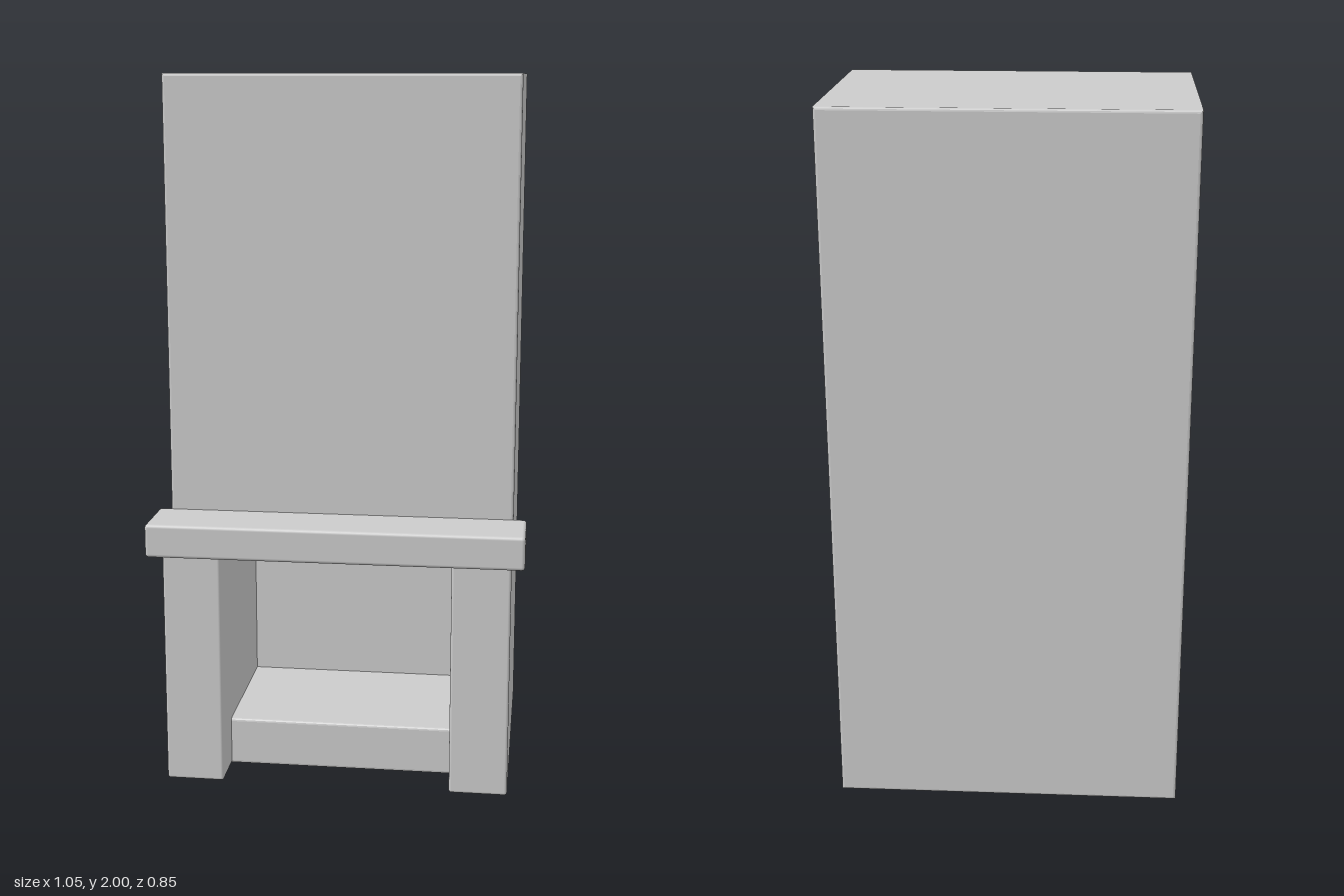
import * as THREE from 'three';
import { RoundedBoxGeometry } from 'three/addons/geometries/RoundedBoxGeometry.js';

const material = new THREE.MeshStandardMaterial({ color: 0xcccccc });
const EDGE = 0.008;

function part(name, geometry) {
  const mesh = new THREE.Mesh(geometry, material);
  mesh.name = name;
  return mesh;
}

// Softly edged block given by its minimum and maximum corners
function block(name, [x0, y0, z0], [x1, y1, z1], radius = EDGE) {
  const geometry = new RoundedBoxGeometry(x1 - x0, y1 - y0, z1 - z0, 3, radius);
  geometry.translate((x0 + x1) / 2, (y0 + y1) / 2, (z0 + z1) / 2);
  return part(name, geometry);
}

function rectangle(path, x0, y0, x1, y1) {
  path.moveTo(x0, y0);
  path.lineTo(x1, y0);
  path.lineTo(x1, y1);
  path.lineTo(x0, y1);
  path.closePath();
  return path;
}

export function createModel() {
  const model = new THREE.Group();
  model.name = 'fireplace';

  // Chimney breast with the firebox opening
  const back = -0.425, front = 0.25;
  const outline = rectangle(new THREE.Shape(), -0.49, 0, 0.49, 2);
  outline.holes.push(rectangle(new THREE.Path(), -0.325, 0.14, 0.325, 0.64));
  const breast = new THREE.ExtrudeGeometry(outline, {
    depth: front - back - 2 * EDGE,
    bevelEnabled: true,
    bevelSize: EDGE,
    bevelThickness: EDGE,
    bevelOffset: -EDGE,
    bevelSegments: 3,
  });
  breast.translate(0, 0, back + EDGE);
  model.add(part('chimneyBreast', breast));

  // Wall closing the rear of the firebox
  model.add(block('fireback', [-0.36, 0.1, back], [0.36, 0.68, -0.175]));

  // Jambs standing forward of the hearth, set into the breast
  for (const side of [-1, 1]) {
    const inner = side * 0.325, outer = side * 0.49;
    model.add(block(side > 0 ? 'leftJamb' : 'rightJamb',
      [Math.min(inner, outer), 0, 0.1],
      [Math.max(inner, outer), 0.7, 0.375]));
  }

  // Mantel shelf
  model.add(block('mantel', [-0.527, 0.68, 0.24], [0.527, 0.775, 0.425], 0.01));

  return model;
}
